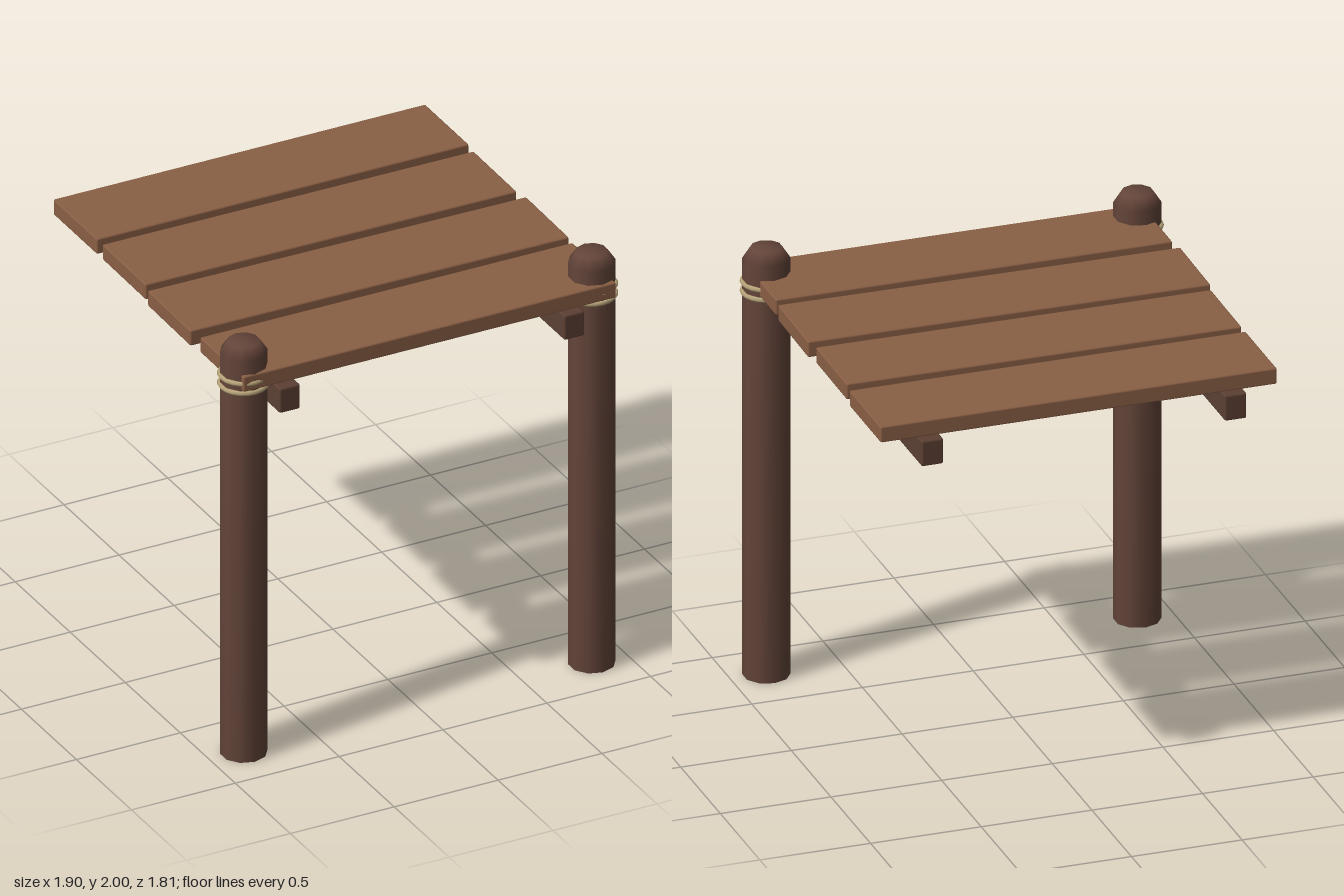
import * as THREE from 'three';
import { RoundedBoxGeometry } from 'three/addons/geometries/RoundedBoxGeometry.js';

function material(name, color) {
  const m = new THREE.MeshStandardMaterial({ color });
  m.name = name;
  return m;
}

export function createModel() {
  const group = new THREE.Group();
  const plankWood = material('plankWood', 0x8a5f45);
  const postWood = material('postWood', 0x64453a);
  const beamWood = material('beamWood', 0x5c4033);
  const ropeFibre = material('ropeFibre', 0xb8a47a);

  function add(name, geometry, mat, x, y, z) {
    const mesh = new THREE.Mesh(geometry, mat);
    mesh.name = name;
    mesh.position.set(x, y, z);
    group.add(mesh);
    return mesh;
  }

  // Ten-sided post with a chamfered top
  const postProfile = [[0, 0], [0.103, 0], [0.103, 1.95], [0.07, 2], [0, 2]]
    .map(([r, y]) => new THREE.Vector2(r, y));
  const postGeometry = new THREE.LatheGeometry(postProfile, 10);
  const ropeGeometry = new THREE.TorusGeometry(0.102, 0.012, 6, 20).rotateX(Math.PI / 2);
  const beamGeometry = new RoundedBoxGeometry(0.1, 0.12, 1.81, 1, 0.01);

  for (const [side, s] of [['left', 1], ['right', -1]]) {
    add(side + 'Post', postGeometry, postWood, s * 0.838, 0, 0.77);

    // Rope lashing: two turns round the post
    add(side + 'UpperRope', ropeGeometry, ropeFibre, s * 0.838, 1.843, 0.77);
    add(side + 'LowerRope', ropeGeometry, ropeFibre, s * 0.838, 1.797, 0.77);

    // Beam under the planks
    add(side + 'Beam', beamGeometry, beamWood, s * 0.685, 1.74, 0);
  }

  // Slightly uneven planks, back to front: length, x, z, turn
  const planks = [
    [1.79, 0.017, -0.685, -0.002],
    [1.78, 0.01, -0.231, -0.009],
    [1.81, 0.004, 0.223, -0.0145],
    [1.79, 0.002, 0.679, -0.004],
  ];
  planks.forEach(([length, x, z, turn], i) => {
    const geometry = new RoundedBoxGeometry(length, 0.075, 0.4, 1, 0.008);
    add('plank' + (i + 1), geometry, plankWood, x, 1.848, z).rotation.y = turn;
  });

  return group;
}
